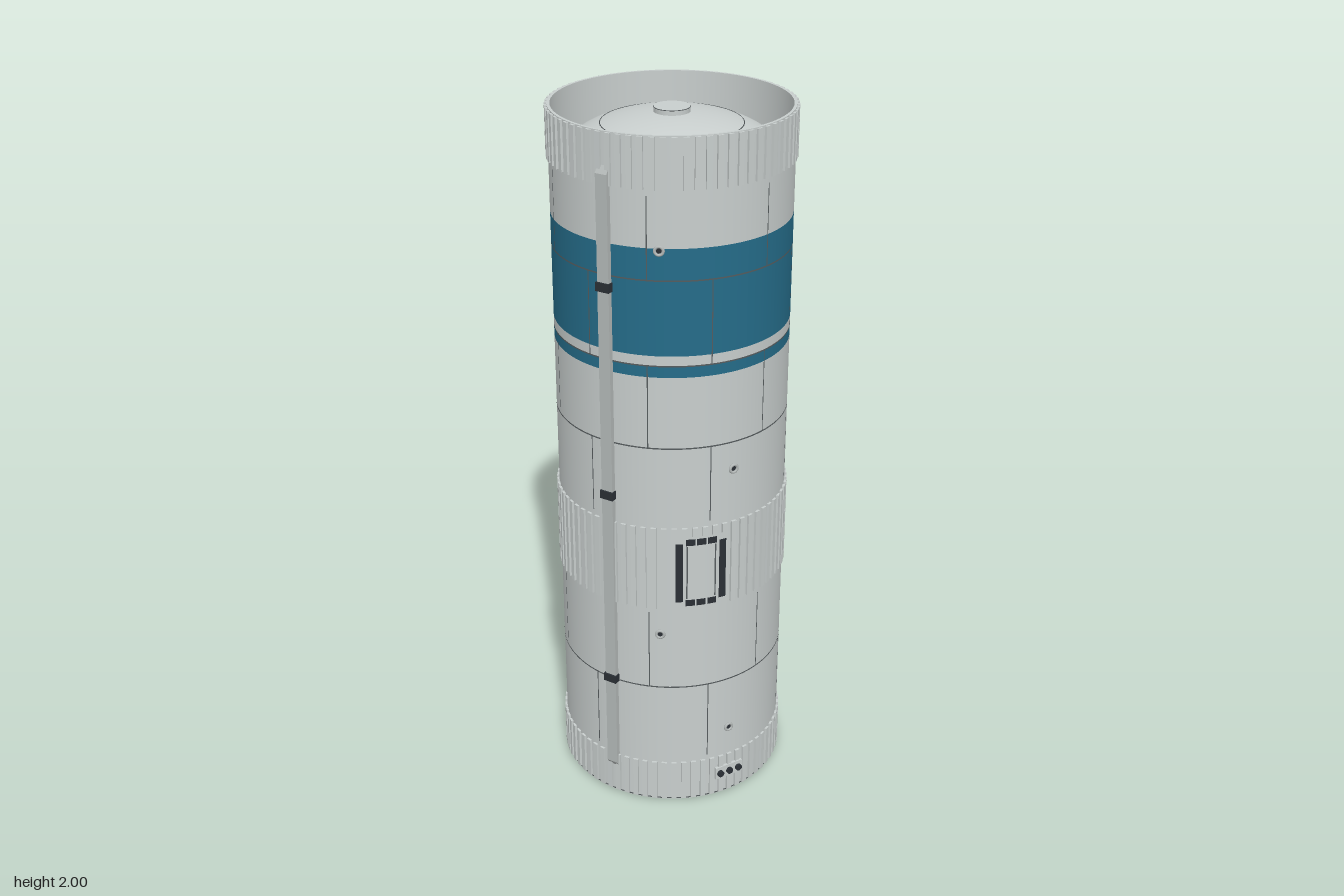
import * as THREE from 'three';
import { mergeGeometries } from 'three/addons/utils/BufferGeometryUtils.js';

const R = 0.322, INNER = 0.314, SEG = 96, DEG = Math.PI / 180;

function material(name, color, doubleSided = false) {
  const m = new THREE.MeshStandardMaterial({ color });
  m.name = name;
  if (doubleSided) m.side = THREE.DoubleSide;
  return m;
}

export function createModel() {
  const hullGrey = material('hull grey', 0xc8cecd);
  const blue = material('band blue', 0x256c89);
  const dark = material('dark fittings', 0x2a2f35);
  const seamGrey = material('seam grey', 0x565c5e, true);
  const conduitGrey = material('conduit grey', 0xb4b9b8);

  const root = new THREE.Group();
  root.name = 'tankSection';
  const model = new THREE.Group();
  model.name = 'tankBody';
  model.position.z = -0.007;
  root.add(model);

  const add = (name, geometry, mat, parent = model) => {
    const mesh = new THREE.Mesh(geometry, mat);
    mesh.name = name;
    parent.add(mesh);
    return mesh;
  };

  // Open cylinder wall between two heights, optionally only an arc of it
  const wall = (r, y0, y1, start = 0, arc = Math.PI * 2) =>
    new THREE.CylinderGeometry(r, r, y1 - y0, Math.max(2, Math.round(SEG * arc / (Math.PI * 2))), 1, true, start, arc)
      .translate(0, (y0 + y1) / 2, 0);

  // Group facing outward on the hull at an angle measured from the front
  const mount = (name, angle, y, r = R) => {
    const g = new THREE.Group();
    g.name = name;
    g.position.set(r * Math.sin(angle), y, r * Math.cos(angle));
    g.rotation.y = angle;
    model.add(g);
    return g;
  };

  // Painted outer shell
  const bands = [
    ['lowerHull', 0, 1.365, hullGrey], ['narrowBlueBand', 1.365, 1.395, blue],
    ['paleStripe', 1.395, 1.425, hullGrey], ['wideBlueBand', 1.425, 1.715, blue],
    ['upperHull', 1.715, 2, hullGrey],
  ];
  for (const [name, y0, y1, mat] of bands) add(name, wall(R, y0, y1), mat);

  // Inner wall and end rims
  const inner = [[R, 0], [INNER, 0], [INNER, 2], [R, 2]].map(([x, y]) => new THREE.Vector2(x, y));
  const innerParts = [];
  for (let i = 0; i < 3; i++) {
    innerParts.push(new THREE.LatheGeometry([inner[i + 1], inner[i]].reverse(), SEG));
  }
  const innerGrey = hullGrey.clone();
  innerGrey.name = 'hull grey inside';
  innerGrey.side = THREE.DoubleSide;
  add('innerWallAndRims', mergeGeometries(innerParts), innerGrey);

  // Inner tank with a shallow dome at each end
  const TR = 0.303, DOME = 0.14, APEX = 1.975;
  const profile = [];
  for (let i = 0; i <= 20; i++) {
    const a = (i / 20) * Math.PI / 2;
    profile.push(new THREE.Vector2(TR * Math.sin(a), 2 - APEX + DOME * (1 - Math.cos(a))));
  }
  for (let i = 20; i >= 0; i--) profile.push(new THREE.Vector2(profile[i].x, 2 - profile[i].y));
  add('innerTank', new THREE.LatheGeometry(profile, SEG), hullGrey);

  for (const top of [true, false]) {
    const side = top ? 'top' : 'bottom';
    const flip = (y) => (top ? y : 2 - y);
    // Dome weld ring and centre cap
    const wy = APEX - DOME * (1 - Math.sqrt(1 - (0.187 / TR) ** 2));
    add(side + 'DomeWeld', new THREE.TorusGeometry(0.187, 0.0014, 4, SEG).rotateX(Math.PI / 2), seamGrey)
      .position.y = flip(wy);
    add(side + 'DomeCap', new THREE.CylinderGeometry(0.048, 0.048, 0.014, 40), hullGrey).position.y = flip(1.98);
    add(side + 'CapSeam', new THREE.TorusGeometry(0.048, 0.001, 4, 40).rotateX(Math.PI / 2), seamGrey)
      .position.y = flip(1.986);
  }

  // Vertical stringers around three bands
  const stringers = [['bottomStringers', 0.006, 0.135], ['middleStringers', 0.665, 0.92], ['topStringers', 1.865, 1.998]];
  const COUNT = 72;
  for (const [name, y0, y1] of stringers) {
    const parts = [];
    for (let i = 0; i < COUNT; i++) {
      parts.push(new THREE.BoxGeometry(0.015, y1 - y0, 0.009)
        .translate(0, (y0 + y1) / 2, 0.324).rotateY((i + 0.5) / COUNT * Math.PI * 2));
    }
    add(name, mergeGeometries(parts), hullGrey);
  }

  // Panel seams: rings, then staggered vertical joints
  const seams = [];
  for (const y of [0.004, 0.4, 1.16, 1.397, 1.63]) seams.push(wall(R + 0.0006, y - 0.002, y + 0.002));
  const rows = [[0.15, 0.4, -10], [0.4, 0.65, 20], [0.935, 1.16, -10], [1.16, 1.397, 20], [1.397, 1.63, -10], [1.63, 1.85, 20]];
  for (const [y0, y1, first] of rows) {
    for (let i = 0; i < 6; i++) {
      seams.push(wall(R + 0.0006, y0, y1, (first + i * 60) * DEG - 0.0045, 0.009));
    }
  }
  add('panelSeams', mergeGeometries(seams), seamGrey);

  // Cable conduit down the front, with sloping ends and clamps
  const side = new THREE.Shape([[0.318, 0.085], [0.335, 0.11], [0.335, 1.895], [0.318, 1.92]]
    .map(([z, y]) => new THREE.Vector2(z, y)));
  add('cableConduit', new THREE.ExtrudeGeometry(side, { depth: 0.034, bevelEnabled: false })
    .translate(0, 0, -0.017).rotateY(-Math.PI / 2), conduitGrey);
  for (const y of [0.408, 1.003, 1.6]) {
    add('conduitClamp', new THREE.BoxGeometry(0.04, 0.024, 0.02), dark).position.set(0, y, 0.33);
  }

  // Access hatch: curved plate, dark side rails and end bars
  const hatch = new THREE.Group();
  hatch.name = 'accessHatch';
  model.add(hatch);
  const HA = 45.5 * DEG;
  const patch = (name, r, offset, width, y0, y1, mat) =>
    add(name, wall(r, y0, y1, HA + (offset - width / 2) / R, width / R), mat, hatch);
  patch('hatchPlate', 0.3295, 0, 0.145, 0.665, 0.895, hullGrey);
  for (const s of [-1, 1]) {
    patch('hatchRail', 0.3305, s * 0.06, 0.02, 0.69, 0.875, dark);
    patch('hatchDoorEdge', 0.3305, s * 0.039, 0.004, 0.7, 0.865, seamGrey);
    const y = 0.782 + s * 0.096;
    for (const o of [-0.03, 0, 0.03]) patch('hatchLatch', 0.3305, o, 0.025, y - 0.01, y + 0.01, dark);
  }

  // Small vent ports
  for (const [deg, y] of [[25.6, 1.71], [62, 1.08], [25.6, 0.58], [62, 0.23]]) {
    const vent = mount('ventPort', deg * DEG, y);
    add('ventRing', new THREE.TorusGeometry(0.011, 0.004, 8, 20), conduitGrey, vent).position.z = 0.002;
    add('ventHole', new THREE.CylinderGeometry(0.009, 0.009, 0.004, 16).rotateX(Math.PI / 2), dark, vent);
  }

  // Service connectors near the base
  const panel = mount('servicePanel', 62 * DEG, 0.078, 0.327);
  add('connectorPlate', new THREE.BoxGeometry(0.09, 0.04, 0.008), hullGrey, panel);
  for (const x of [-0.031, 0, 0.031]) {
    add('connector', new THREE.CylinderGeometry(0.01, 0.01, 0.014, 16).rotateX(Math.PI / 2), dark, panel)
      .position.set(x, 0, 0.005);
  }

  return root;
}
